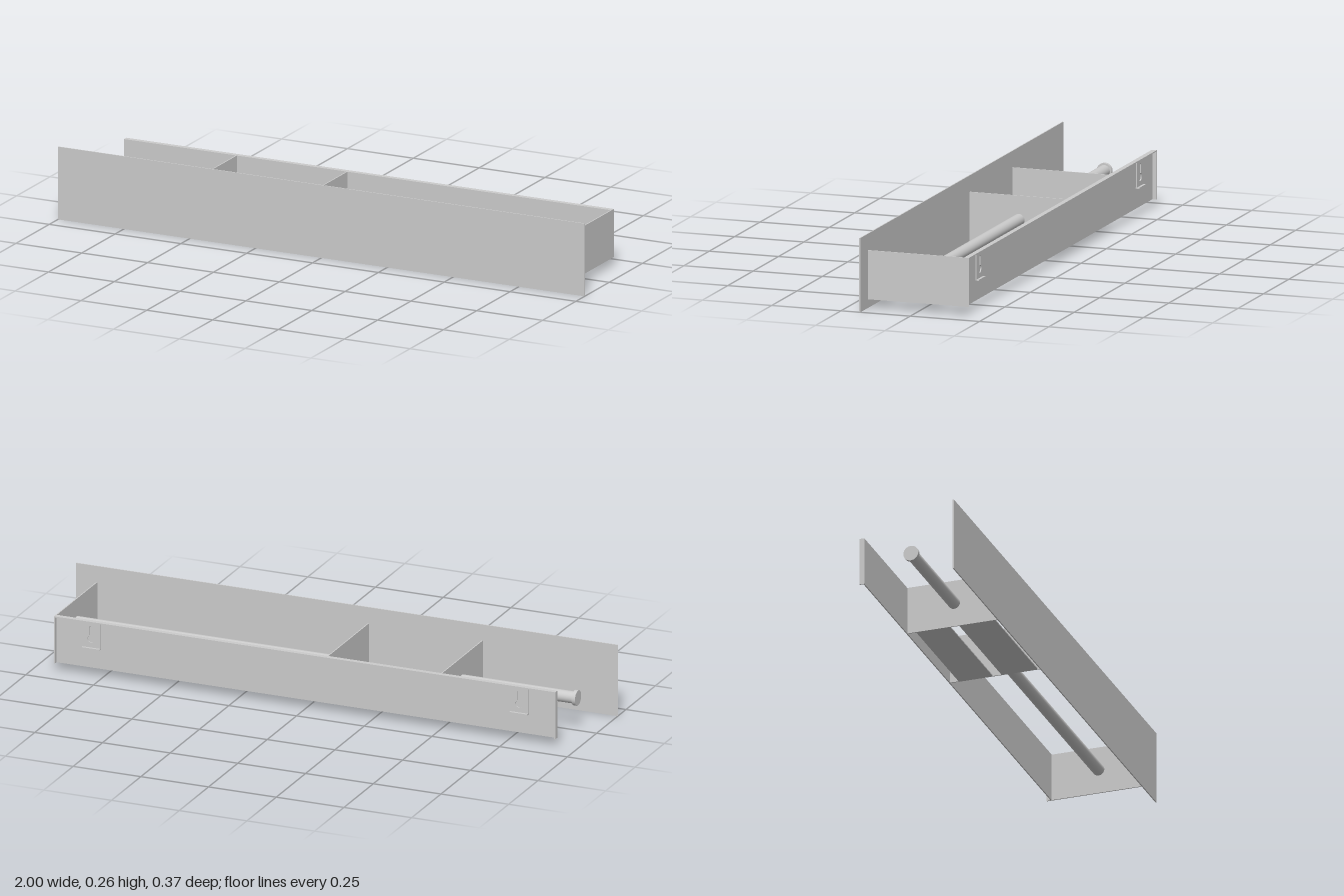
import * as THREE from 'three';

const material = new THREE.MeshStandardMaterial({ color: 0xcccccc });
const T = 0.004; // sheet thickness

export function createModel() {
  const group = new THREE.Group();

  const add = (name, geometry) => {
    const mesh = new THREE.Mesh(geometry, material);
    mesh.name = name;
    group.add(mesh);
    return mesh;
  };

  // Box given by its limits on each axis
  const box = (name, [x0, x1], [y0, y1], [z0, z1]) =>
    add(name, new THREE.BoxGeometry(x1 - x0, y1 - y0, z1 - z0))
      .position.set((x0 + x1) / 2, (y0 + y1) / 2, (z0 + z1) / 2);

  const low = 0.03, high = 0.2;
  const left = 0.925, right = -0.927;
  const front = 0.18, back = -0.184, web = -0.166;

  // Front panel
  box('frontPanel', [-1, 1], [0, 0.257], [front, front + T]);

  // Back panel with rearward top and end flanges
  box('backPanel', [right, left], [low, high], [web - T, web]);
  box('backTopFlange', [right, left], [high - T, high], [back, web - T]);
  box('backEndFlange', [right, right + T], [low, high - T], [back, web - T]);

  // End plate and the two dividers
  box('endPlate', [left - T, left], [low, high], [back, front]);
  for (const x of [-0.5, -0.08]) {
    box('divider', [x - T / 2, x + T / 2], [low, high], [web, front]);
  }

  // Two floor strips between the dividers
  for (const z of [[-0.135, -0.012], [0.02, 0.15]]) {
    box('floorStrip', [-0.498, -0.082], [low, low + T], z);
  }

  // Rod in two lengths, with an end cap
  const rod = (name, x0, x1, radius) => {
    const mesh = add(name, new THREE.CylinderGeometry(radius, radius, x1 - x0, 32));
    mesh.rotation.z = Math.PI / 2;
    mesh.position.set((x0 + x1) / 2, 0.116, 0.003);
  };
  rod('longRod', -0.078, left - T, 0.021);
  rod('shortRod', -0.92, -0.502, 0.021);
  rod('rodCap', -0.93, -0.918, 0.027);

  // Hanging brackets: plate with a keyhole and a bottom lip
  const plate = new THREE.Shape();
  plate.moveTo(-0.033, 0.1).lineTo(0.033, 0.1).lineTo(0.033, high - T).lineTo(-0.033, high - T);
  const keyhole = new THREE.Path();
  keyhole.moveTo(-0.007, 0.175);
  keyhole.lineTo(-0.007, 0.147);
  keyhole.absarc(0, 0.135, 0.014, Math.PI * 2 / 3, Math.PI * 7 / 3, false);
  keyhole.lineTo(0.007, 0.175);
  keyhole.absarc(0, 0.175, 0.007, 0, Math.PI, false);
  plate.holes.push(keyhole);
  for (const x of [-0.79, 0.79]) {
    const bracket = add('hangerPlate', new THREE.ExtrudeGeometry(plate, { depth: T, bevelEnabled: false, curveSegments: 16 }));
    bracket.position.set(x, 0, web - 2.2 * T);
    box('hangerLip', [x - 0.033, x + 0.033], [0.1, 0.1 + T], [back, web - T]);
  }

  return group;
}
